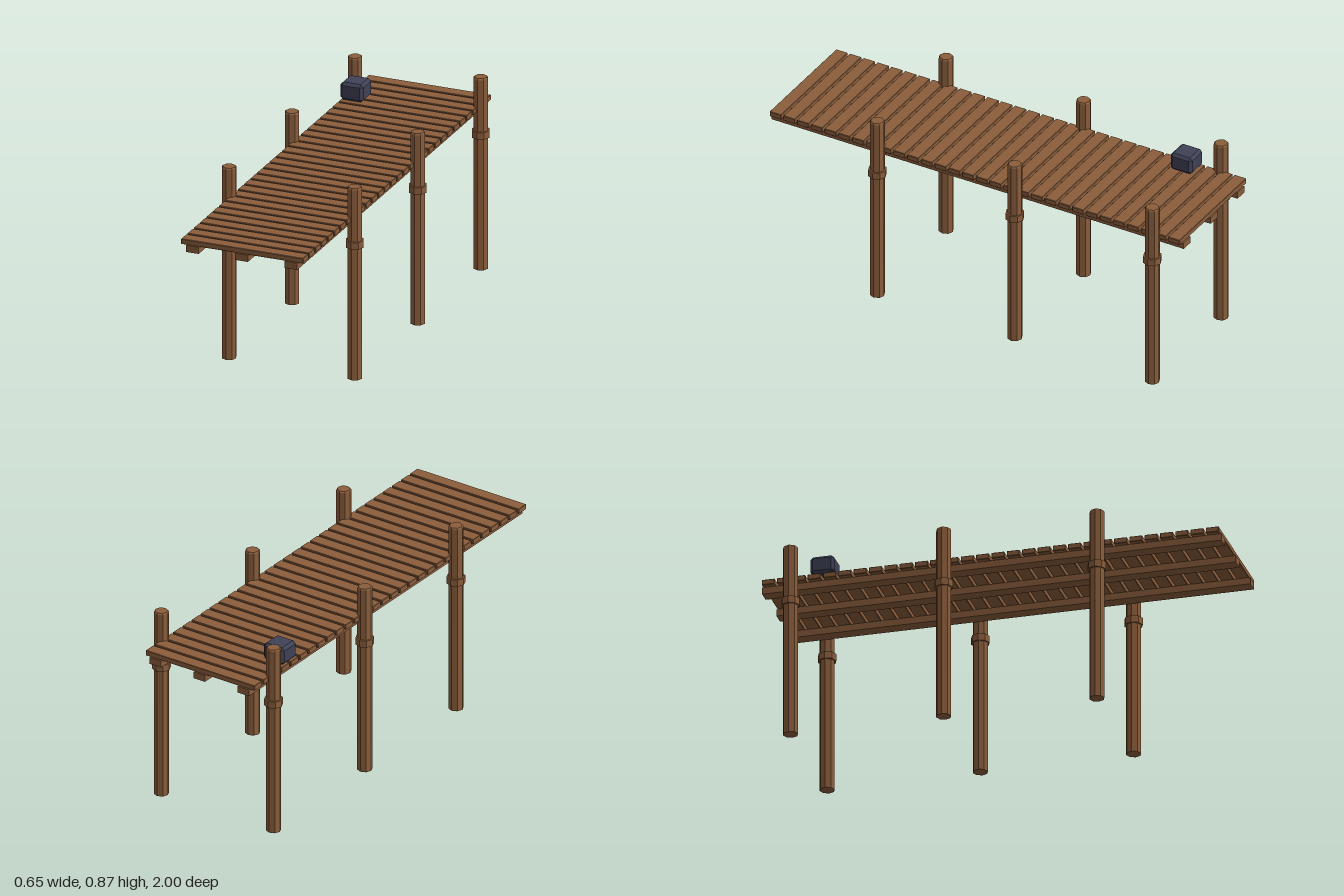
import * as THREE from 'three';
import { ConvexGeometry } from 'three/addons/geometries/ConvexGeometry.js';

const wood = new THREE.MeshStandardMaterial({ color: 0x8b5e3c });
wood.name = 'wood';
const slate = new THREE.MeshStandardMaterial({ color: 0x3f4156 });
slate.name = 'slate';

function add(parent, name, geometry, material, x, y, z) {
  const mesh = new THREE.Mesh(geometry, material);
  mesh.name = name;
  mesh.position.set(x, y, z);
  parent.add(mesh);
  return mesh;
}

// Give every facet its own normal
function faceted(geometry) {
  const g = geometry.toNonIndexed();
  g.computeVertexNormals();
  return g;
}

// Box with all edges cut at 45 degrees
function chamferedBox(w, h, d, c) {
  const points = [];
  for (const x of [-w / 2, w / 2]) for (const y of [-h / 2, h / 2]) for (const z of [-d / 2, d / 2]) {
    const ix = x - Math.sign(x) * c, iy = y - Math.sign(y) * c, iz = z - Math.sign(z) * c;
    points.push(new THREE.Vector3(x, iy, iz), new THREE.Vector3(ix, y, iz), new THREE.Vector3(ix, iy, z));
  }
  return new ConvexGeometry(points);
}

export function createModel() {
  const model = new THREE.Group();
  model.name = 'dock';
  const cx = -0.001;

  // Deck planks with narrow gaps
  const deck = new THREE.Group();
  deck.name = 'deck';
  model.add(deck);
  const count = 30, pitch = 2 / count;
  const plank = chamferedBox(0.558, 0.024, 0.056, 0.002);
  for (let i = 0; i < count; i++) {
    add(deck, 'plank', plank, wood, cx, 0.723, -1 + (i + 0.5) * pitch);
  }

  // Long beams under the deck
  const beam = new THREE.BoxGeometry(0.058, 0.03, 2);
  for (const x of [-0.225, 0, 0.225]) add(model, 'beam', beam, wood, cx + x, 0.696, 0);

  // Eight-sided posts with bevelled tops, each with a collar
  const post = faceted(new THREE.LatheGeometry([
    new THREE.Vector2(0, 0), new THREE.Vector2(0.0325, 0),
    new THREE.Vector2(0.0325, 0.86), new THREE.Vector2(0.028, 0.866),
    new THREE.Vector2(0, 0.866),
  ], 8));
  const collar = faceted(new THREE.CylinderGeometry(0.04, 0.04, 0.031, 8));
  for (const z of [0.467, -0.2, -0.867]) {
    for (const side of [-1, 1]) {
      const x = cx + side * 0.287;
      add(model, 'post', post, wood, x, 0, z);
      add(model, 'collar', collar, wood, x, 0.61, z);
    }
  }

  // Small chest on the deck
  add(model, 'chest', chamferedBox(0.104, 0.08, 0.104, 0.012), slate, -0.227, 0.777, -0.734);

  return model;
}
